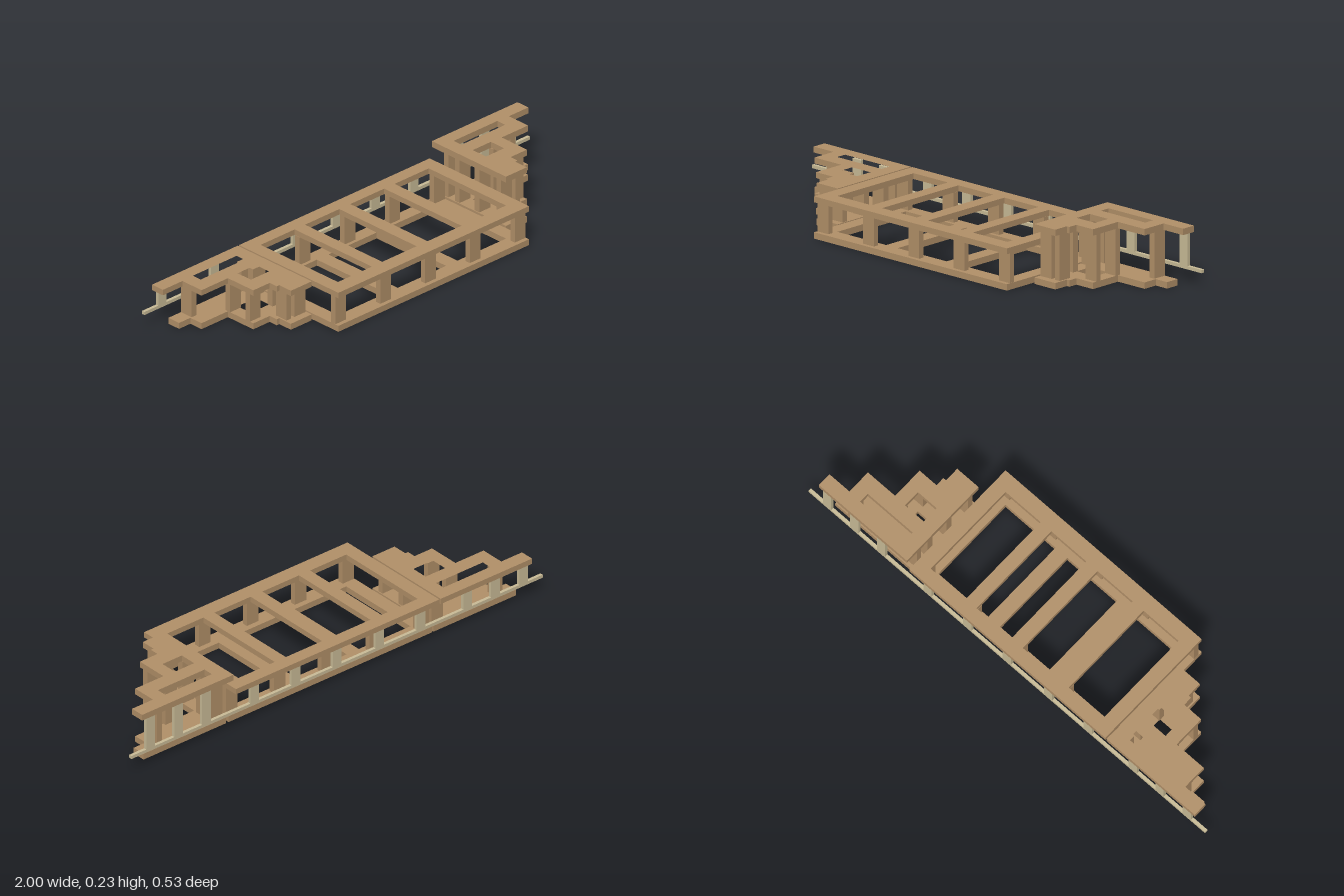
import * as THREE from 'three';

export function createModel() {
  const model = new THREE.Group();
  model.name = 'timberFrame';
  const wood = new THREE.MeshStandardMaterial({ color: 0xb39169 });
  wood.name = 'brown wood';
  const pale = new THREE.MeshStandardMaterial({ color: 0xcbbd98 });
  pale.name = 'pale wood';

  // Box given by its limits on each axis
  function box(parent, name, mat, x0, x1, y0, y1, z0, z1) {
    const mesh = new THREE.Mesh(
      new THREE.BoxGeometry(Math.abs(x1 - x0), y1 - y0, Math.abs(z1 - z0)), mat);
    mesh.position.set((x0 + x1) / 2, (y0 + y1) / 2, (z0 + z1) / 2);
    mesh.name = name;
    parent.add(mesh);
  }

  // Flat slab from an outline of [x, z] points with rectangular holes [x0, x1, z0, z1]
  function slab(parent, name, outline, holes, y0, y1, side = 1) {
    const toPoints = (list) => list.map(([x, z]) => new THREE.Vector2(x * side, z));
    const shape = new THREE.Shape(toPoints(outline));
    for (const [a, b, c, d] of holes) {
      shape.holes.push(new THREE.Path(toPoints([[a, c], [b, c], [b, d], [a, d]])));
    }
    const geo = new THREE.ExtrudeGeometry(shape, { depth: y1 - y0, bevelEnabled: false });
    geo.rotateX(Math.PI / 2).translate(0, y1, 0);
    const mesh = new THREE.Mesh(geo, wood);
    mesh.name = name;
    parent.add(mesh);
  }

  const FLOOR = 0.025;

  // Central bay: ladder-like upper and lower frames joined by posts
  const bay = new THREE.Group();
  bay.name = 'centralBay';
  model.add(bay);
  const L = -0.497, R = 0.492;
  const rect = (z0, z1) => [[L, z0], [R, z0], [R, z1], [L, z1]];
  slab(bay, 'upperFrame', rect(-0.265, 0.265), [
    [-0.438, -0.262, -0.21, 0.202], [-0.208, -0.03, -0.21, 0.202],
    [0.027, 0.203, -0.21, 0.202], [0.257, 0.434, -0.21, 0.202],
  ], 0.141, 0.164);
  slab(bay, 'lowerFrame', rect(-0.222, 0.265), [
    [-0.438, -0.187, -0.168, 0.202], [-0.128, 0.123, -0.168, 0.202],
    [0.182, 0.434, -0.168, 0.202],
  ], 0, FLOOR);
  for (const x of [-0.468, -0.235, -0.002, 0.23, 0.463]) {
    box(bay, 'frontPost', wood, x - 0.028, x + 0.028, FLOOR, 0.141, 0.225, 0.248);
    box(bay, 'backPost', wood, x - 0.028, x + 0.028, FLOOR, 0.141, -0.206, -0.182);
  }

  // Stepped wings; the one on +x is taller
  const steps = [[0.71, -0.105], [0.71, 0.03], [0.625, 0.03], [0.625, 0.068],
    [0.612, 0.068], [0.612, 0.13], [0.504, 0.13]];
  const well = [0.563, 0.657, -0.108, -0.037];
  const posts = [
    [0.582, 0.605, 0.043, 0.1], [0.508, 0.565, 0.076, 0.1], [0.655, 0.71, -0.012, 0.012],
    [0.508, 0.565, -0.042, -0.016], [0.655, 0.71, -0.117, -0.093],
    [0.508, 0.565, -0.147, -0.121], [0.815, 0.84, -0.222, -0.165],
    [0.508, 0.565, -0.206, -0.182],
  ];
  for (const [side, name, under, top] of [
    [1, 'leftWing', 0.207, 0.232], [-1, 'rightWing', 0.141, 0.164]]) {
    const wing = new THREE.Group();
    wing.name = name;
    model.add(wing);
    slab(wing, 'upperDeck', [[0.504, -0.265], [0.948, -0.265], [0.948, -0.207],
      [0.847, -0.207], [0.847, -0.105], ...steps],
    [well, [0.563, 0.79, -0.21, -0.168]], under, top, side);
    slab(wing, 'lowerDeck', [[0.504, -0.222], [0.905, -0.222], [0.905, -0.165],
      [0.847, -0.165], [0.847, -0.105], ...steps], [well], 0, FLOOR, side);
    for (const [x0, x1, z0, z1] of posts) {
      box(wing, 'wingPost', wood, x0 * side, x1 * side, FLOOR, under, z0, z1);
    }
    // Pale hangers under the back edge of the deck
    for (const x of [0.635, 0.77, 0.907]) {
      box(wing, 'hanger', pale, side * x - 0.021, side * x + 0.021, 0.073, under, -0.265, -0.252);
    }
  }

  // Pale rail along the back, with hangers to the central bay
  box(model, 'backRail', pale, -1, 1, 0.06, 0.073, -0.265, -0.252);
  for (const x of [-0.408, -0.208, 0, 0.2, 0.4]) {
    box(bay, 'hanger', pale, x - 0.021, x + 0.021, 0.073, 0.141, -0.265, -0.252);
  }
  return model;
}
